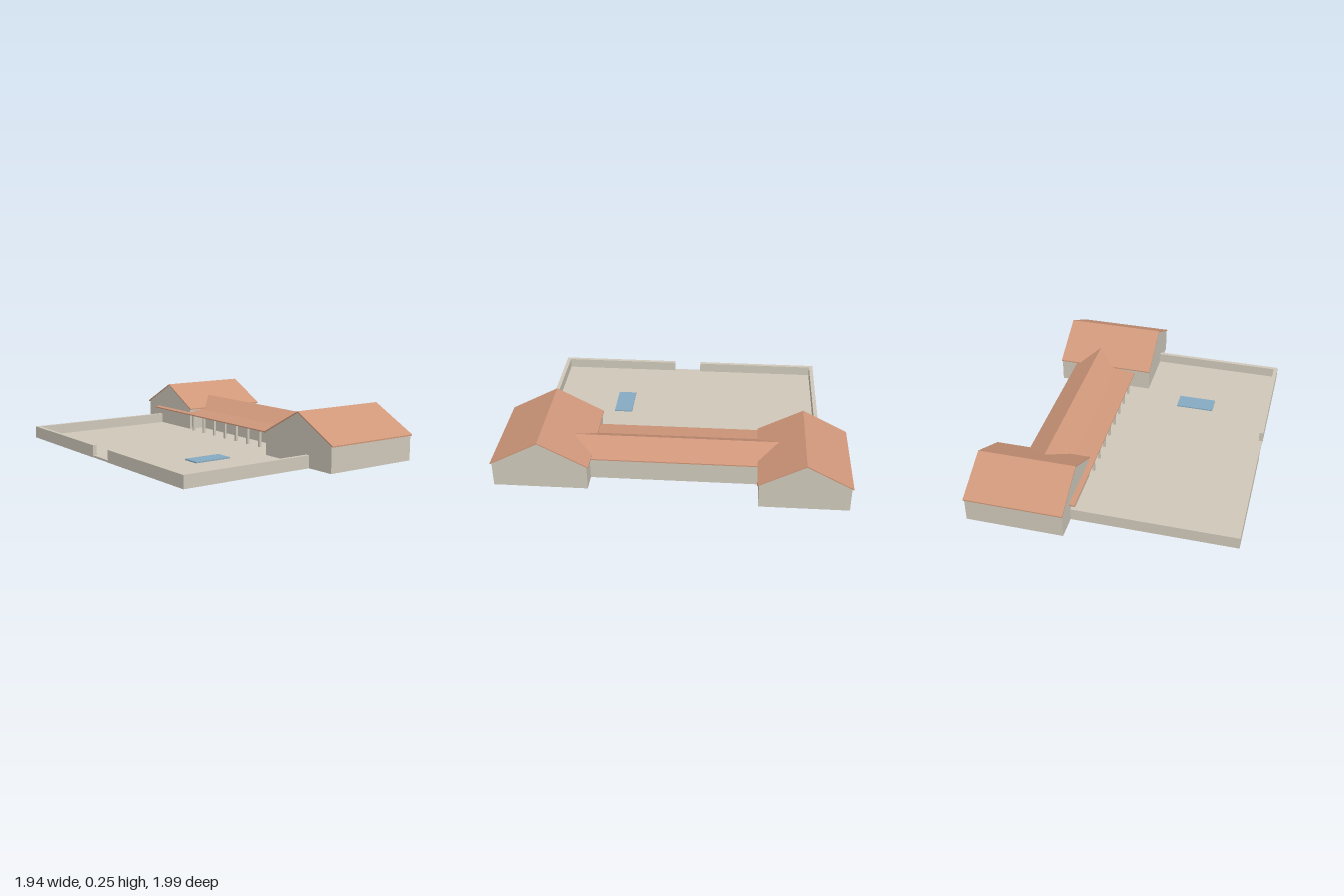
import * as THREE from 'three';

export function createModel() {
  const mat = (name, color) => {
    const m = new THREE.MeshStandardMaterial({ color });
    m.name = name;
    return m;
  };
  const stone = mat('stone', 0xcfc8ba);
  const tile = mat('roofTile', 0xcf977a);
  const water = mat('water', 0x86abc2);

  const model = new THREE.Group();
  model.name = 'courtyardFarm';
  // The whole plan is turned; parts are laid out on straight axes inside it
  const plan = new THREE.Group();
  plan.name = 'plan';
  plan.rotation.y = 0.748;
  model.add(plan);

  const add = (parent, name, geo, material) => {
    const m = new THREE.Mesh(geo, material);
    m.name = name;
    parent.add(m);
    return m;
  };
  const box = (name, x0, x1, y0, y1, z0, z1, material = stone) => {
    const m = add(plan, name, new THREE.BoxGeometry(x1 - x0, y1 - y0, z1 - z0), material);
    m.position.set((x0 + x1) / 2, (y0 + y1) / 2, (z0 + z1) / 2);
    return m;
  };
  const prism = (points, depth) => new THREE.ExtrudeGeometry(
    new THREE.Shape(points.map(p => new THREE.Vector2(...p))),
    { depth, bevelEnabled: false });

  // Gabled building: ridge runs along local z, half width w at the eaves
  const house = (name, w, eave, ridge, length) => {
    const g = new THREE.Group();
    g.name = name;
    const t = 0.006, inset = 0.008, end = 0.003;
    const wallW = w - inset;
    const wallTop = eave + (ridge - eave) * inset / w - t * 0.7;
    const walls = add(g, name + 'Walls', prism(
      [[-wallW, 0], [wallW, 0], [wallW, wallTop], [0, ridge - t * 0.7], [-wallW, wallTop]],
      length - 2 * end), stone);
    walls.position.z = end;
    add(g, name + 'Roof', prism(
      [[-w, eave - t], [0, ridge - t], [w, eave - t], [w, eave], [0, ridge], [-w, eave]],
      length), tile);
    plan.add(g);
    return g;
  };

  // Two end barns, ridges across the yard
  const northBarn = house('northBarn', 0.22, 0.124, 0.24, 0.475);
  northBarn.rotation.y = Math.PI / 2;
  northBarn.position.set(0.11, 0, -0.604);
  const southBarn = house('southBarn', 0.235, 0.125, 0.25, 0.505);
  southBarn.rotation.y = Math.PI / 2;
  southBarn.position.set(0.001, 0, 0.645);

  // Long range joining the barns
  const range = house('longRange', 0.115, 0.113, 0.177, 1.16);
  range.position.set(0.304, 0, -0.56);

  // Veranda: shallow lean-to roof on a row of posts
  add(plan, 'verandaRoof', prism(
    [[0.087, 0.094], [0.2, 0.11], [0.2, 0.116], [0.087, 0.1]], 1.34), tile)
    .position.z = -0.715;
  for (let i = 0; i < 8; i++) {
    const z = -0.343 + i * 0.098;
    box('verandaPost', 0.098, 0.11, 0.005, 0.098, z - 0.006, z + 0.006);
  }

  // Courtyard floor, enclosing walls with a gateway, and the pool
  const x0 = -0.675, z0 = -0.7, z1 = 0.727, t = 0.02, h = 0.06;
  box('courtyardFloor', x0 + 0.002, 0.2, 0, 0.01, z0 + 0.002, z1 - 0.002);
  box('northWall', x0, 0.115, 0, h, z0, z0 + t);
  box('southWall', x0, 0.01, 0, h, z1 - t, z1);
  box('gateWallNorth', x0, x0 + t, 0, h, z0 + t, -0.052);
  box('gateWallSouth', x0, x0 + t, 0, h, 0.093, z1 - t);
  box('pool', -0.377, -0.184, 0.009, 0.016, 0.29, 0.383, water);

  return model;
}
